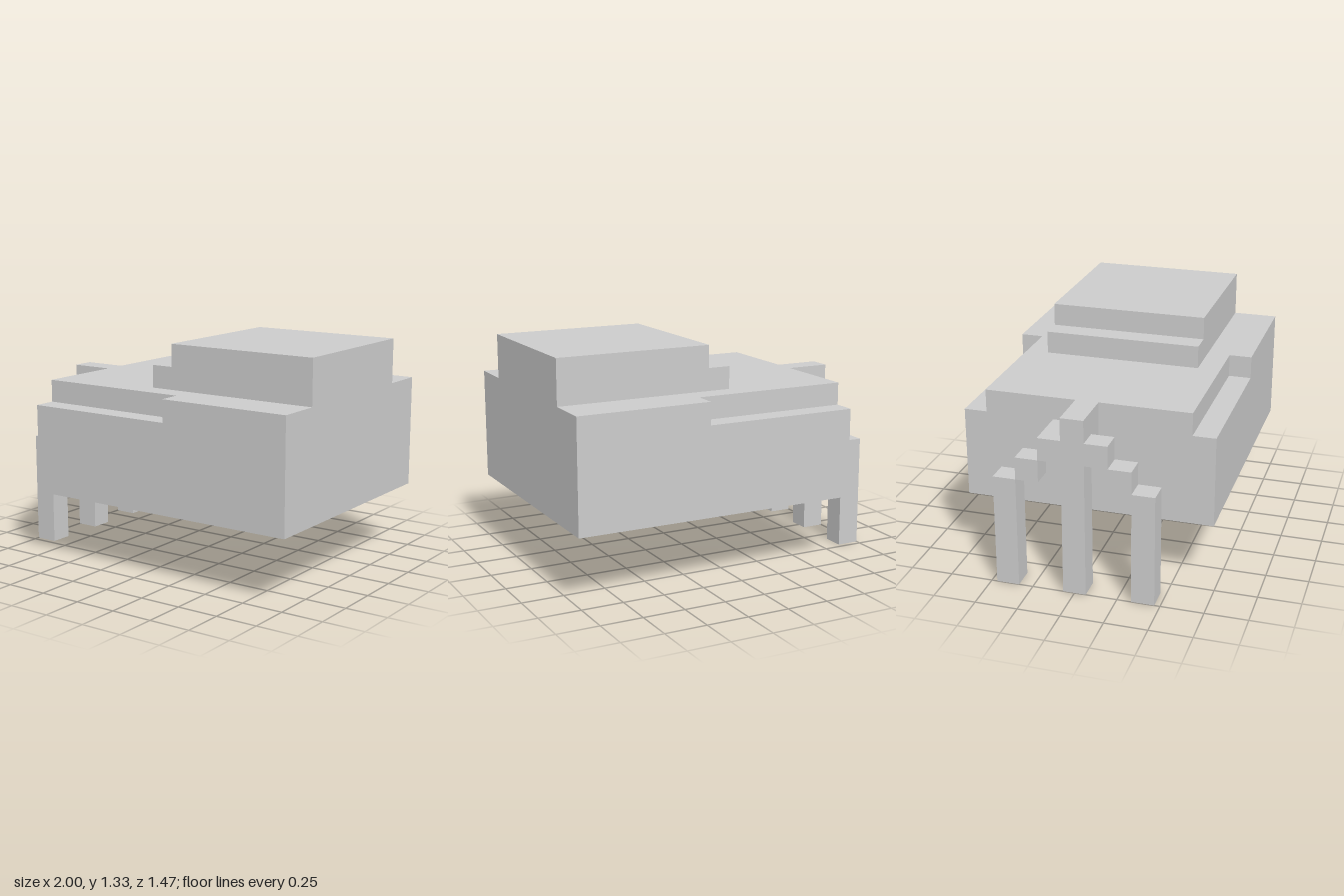
import * as THREE from 'three';

const U = 2 / 15; // one block of the modelling grid

export function createModel() {
  const model = new THREE.Group();
  const material = new THREE.MeshStandardMaterial({ color: 0xcccccc, flatShading: true });

  function add(name, geometry) {
    const mesh = new THREE.Mesh(geometry, material);
    mesh.name = name;
    model.add(mesh);
    return mesh;
  }

  // Box given by its two extreme corners, in grid blocks
  function block(name, [x0, y0, z0], [x1, y1, z1]) {
    const mesh = add(name, new THREE.BoxGeometry((x1 - x0) * U, (y1 - y0) * U, (z1 - z0) * U));
    mesh.position.set((x0 + x1) / 2 * U, (y0 + y1) / 2 * U, (z0 + z1) / 2 * U);
  }

  // Prism from an outline given in grid blocks
  function prism(points, depth) {
    const shape = new THREE.Shape(points.map(([x, y]) => new THREE.Vector2(x * U, y * U)));
    return new THREE.ExtrudeGeometry(shape, { depth: depth * U, bevelEnabled: false });
  }

  // Main body with a deck that narrows along the sides
  block('body', [-5.5, 3, -5.5], [7.5, 7, 5.5]);
  const deck = prism([
    [-5.5, -4.5], [1.5, -4.5], [1.5, -5.5], [7.5, -5.5],
    [7.5, 5.5], [1.5, 5.5], [1.5, 4.5], [-5.5, 4.5],
  ], 1);
  deck.rotateX(-Math.PI / 2).translate(0, 7 * U, 0);
  add('deck', deck);

  // Raised upper block with a step at its end
  const upper = prism([[-0.5, 8], [7.5, 8], [7.5, 10], [0.5, 10], [0.5, 9], [-0.5, 9]], 7);
  upper.translate(0, 0, -3.5 * U);
  add('upperBlock', upper);

  // Arm joining the body to the legs, with a ledge on one side
  block('arm', [-6.5, 6, -0.5], [-5.5, 8, 0.5]);
  block('armLedge', [-6.5, 6, -1.5], [-5.5, 7, -0.5]);

  // Middle leg and the stepped side legs
  block('middleLeg', [-7.5, 0, -0.5], [-6.5, 8, 0.5]);
  for (const side of [-1, 1]) {
    const piece = (name, z, y0, y1) =>
      block(name, [-7.5, y0, side * z - 0.5], [-6.5, y1, side * z + 0.5]);
    piece('upperStep', 1, 6, 7);
    piece('lowerStep', 2, 5, 6);
    piece('sideLeg', 3, 0, 5);
  }

  return model;
}
